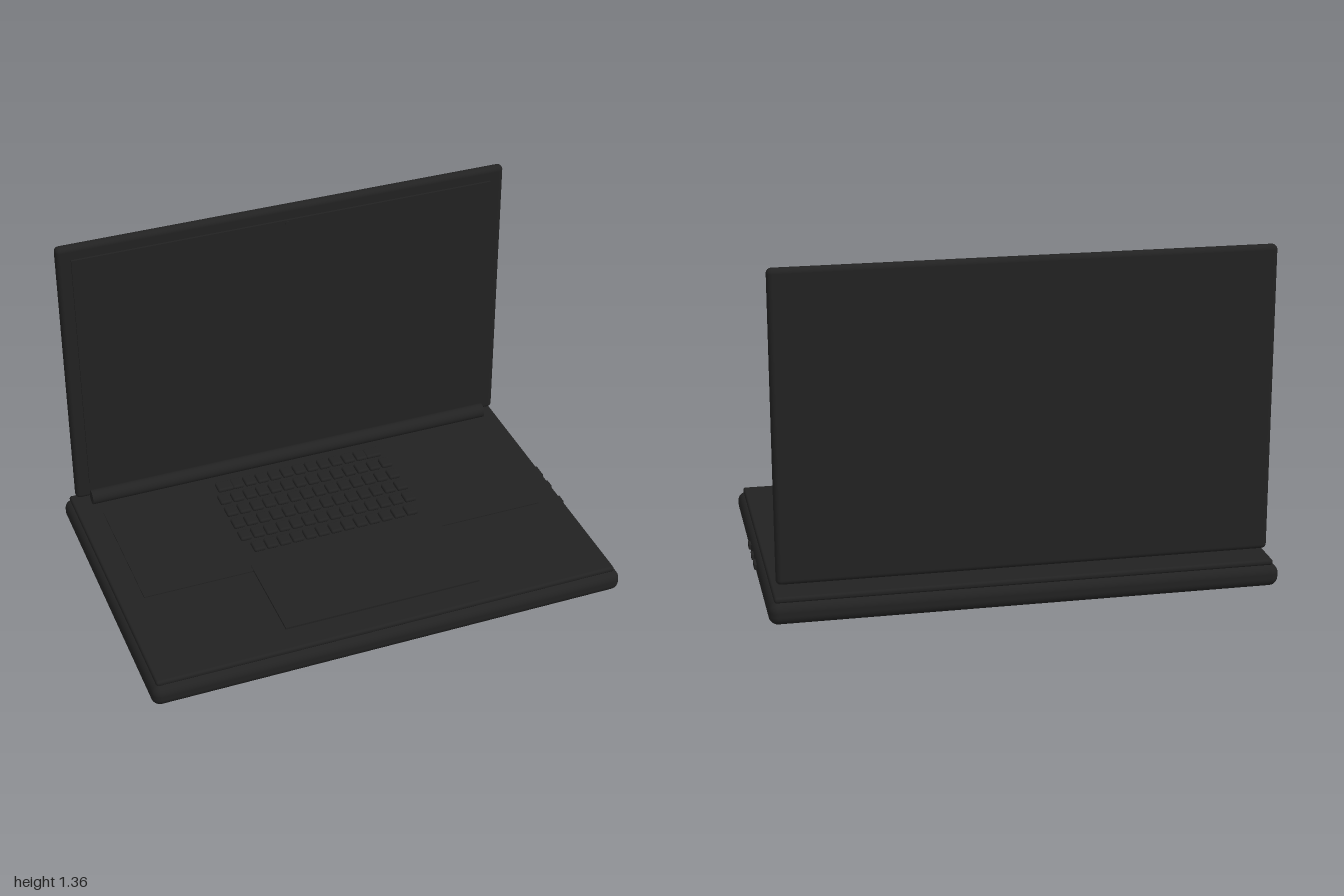
import * as THREE from 'three';
import { RoundedBoxGeometry } from 'three/addons/geometries/RoundedBoxGeometry.js';

export function createModel() {
  const model = new THREE.Group();
  model.name = 'laptop';
  const charcoal = new THREE.MeshStandardMaterial({ color: 0x222222 });
  charcoal.name = 'charcoal';

  const add = (name, geometry, x, y, z, parent = model) => {
    const mesh = new THREE.Mesh(geometry, charcoal);
    mesh.name = name;
    mesh.position.set(x, y, z);
    parent.add(mesh);
    return mesh;
  };
  // box given by its [min, max] extents, rounded when r > 0
  const block = (name, [x0, x1], [y0, y1], [z0, z1], r = 0, parent = model) => {
    const size = [x1 - x0, y1 - y0, z1 - z0];
    const geometry = r > 0 ? new RoundedBoxGeometry(...size, 5, r) : new THREE.BoxGeometry(...size);
    return add(name, geometry, (x0 + x1) / 2, (y0 + y1) / 2, (z0 + z1) / 2, parent);
  };

  // Lower body
  block('base', [-1, 0.992], [0, 0.088], [-0.655, 0.655], 0.036);
  block('topDeck', [-0.978, 0.97], [0.085, 0.108], [-0.635, 0.63], 0.01);
  block('keyboardPlate', [-0.875, 0.865], [0.1, 0.113], [-0.465, 0.13]);
  block('trackpad', [-0.412, 0.418], [0.1, 0.117], [0.1, 0.515]);

  // Keys: [count, width of the outer keys] for each row, back to front
  const keyboard = new THREE.Group();
  keyboard.name = 'keyboard';
  model.add(keyboard);
  const pitch = 0.0565;
  const rows = [[13, 0.07], [14, 0.05], [14, 0.05], [14, 0.05], [14, 0.05], [13, 0.05]];
  const keyShape = (width) => new RoundedBoxGeometry(width, 0.018, 0.06, 3, 0.008);
  const key = keyShape(0.05);
  rows.forEach(([count, endWidth], row) => {
    const endKey = keyShape(endWidth);
    for (let i = 0; i < count; i++) {
      const isEnd = i === 0 || i === count - 1;
      const x = -0.006 + (i - (count - 1) / 2) * pitch;
      add('key', isEnd ? endKey : key, x, 0.122, -0.444 + row * 0.0874, keyboard);
    }
  });

  // Ports on the left side
  for (const z of [[0.06, 0.1], [-0.057, -0.016], [-0.166, -0.1]]) {
    block('port', [0.97, 1], [0.041, 0.063], z);
  }

  // Hinge barrel
  const barrel = new THREE.CylinderGeometry(0.031, 0.031, 1.8, 32);
  add('hinge', barrel, -0.005, 0.154, -0.531).rotation.z = Math.PI / 2;

  // Upright lid with display and camera
  const lid = new THREE.Group();
  lid.name = 'lid';
  model.add(lid);
  block('lidShell', [-0.963, 0.957], [0.14, 1.358], [-0.597, -0.553], 0.02, lid);
  block('screen', [-0.905, 0.895], [0.215, 1.302], [-0.57, -0.545], 0, lid);
  const lens = new THREE.CylinderGeometry(0.009, 0.009, 0.006, 20);
  add('camera', lens, -0.004, 1.287, -0.545, lid).rotation.x = Math.PI / 2;

  return model;
}
